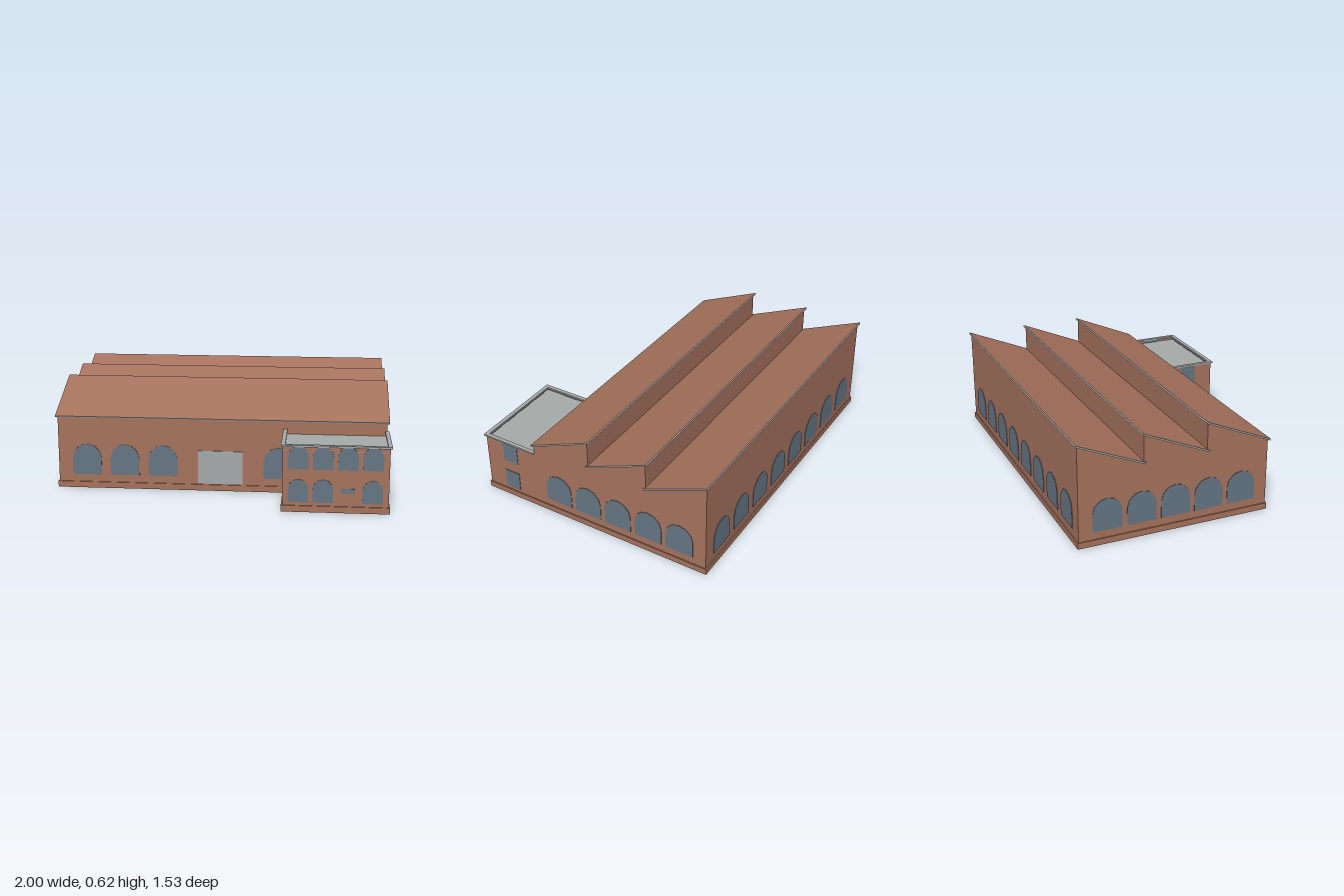
import * as THREE from 'three';

const mat = (name, color, side = THREE.FrontSide) => {
  const m = new THREE.MeshStandardMaterial({ color, side });
  m.name = name;
  return m;
};

export function createModel() {
  const brick = mat('brick', 0xa5725c, THREE.DoubleSide);
  const grey = mat('concrete grey', 0xa5a9a8);
  const glass = mat('window blue', 0x647683);

  const model = new THREE.Group();
  model.name = 'sawtoothFactory';
  const add = (name, geometry, material, x = 0, y = 0, z = 0, rotY = 0) => {
    const mesh = new THREE.Mesh(geometry, material);
    mesh.name = name;
    mesh.position.set(x, y, z);
    mesh.rotation.y = rotY;
    model.add(mesh);
    return mesh;
  };
  const box = (name, material, x0, x1, y0, y1, z0, z1) =>
    add(name, new THREE.BoxGeometry(x1 - x0, y1 - y0, z1 - z0), material,
      (x0 + x1) / 2, (y0 + y1) / 2, (z0 + z1) / 2);
  const wall = (name, w, h, x, y, z, rotY = 0) =>
    add(name, new THREE.PlaneGeometry(w, h), brick, x, y + h / 2, z, rotY);

  // Main dimensions
  const X = 0.987, FRONT = 0.4, TOOTH = 0.385, BACK = FRONT - 3 * TOOTH;
  const LOW = 0.443, HIGH = 0.608, SIDE = Math.PI / 2;
  const AX = 0.385, AZ = 0.755, AH = 0.382;

  // Sawtooth side walls (shape x runs towards -z)
  const profile = new THREE.Shape();
  profile.moveTo(-FRONT, 0);
  for (let i = 0; i < 3; i++) {
    profile.lineTo(-FRONT + i * TOOTH, LOW);
    profile.lineTo(-FRONT + (i + 1) * TOOTH, HIGH);
  }
  profile.lineTo(-BACK, 0);
  for (const s of [-1, 1])
    add('sideWall', new THREE.ShapeGeometry(profile), brick, s * X, 0, 0, SIDE);

  // Front and back walls, and upright faces of the teeth
  wall('frontWall', 2 * X, LOW, 0, 0, FRONT);
  wall('backWall', 2 * X, HIGH, 0, 0, BACK);
  for (const i of [1, 2])
    wall('toothWall', 2 * X, HIGH - LOW, 0, LOW, FRONT - i * TOOTH);

  // Sloping roof slabs: brick on top, grey edges and underside
  const slope = Math.atan2(0.173, 0.405);
  for (let i = 0; i < 3; i++) {
    const slab = add('roofSlab', new THREE.BoxGeometry(2, 0.01, 0.44),
      [grey, grey, brick, grey, grey, grey],
      0, (LOW + HIGH) / 2 + 0.002, FRONT - (i + 0.5) * TOOTH);
    slab.rotation.x = slope;
  }

  // Annex walls, recessed roof and coping
  const annexDepth = AZ - FRONT, annexMid = (AZ + FRONT) / 2;
  wall('annexFrontWall', X - AX, AH, (X + AX) / 2, 0, AZ);
  for (const x of [AX, X]) wall('annexSideWall', annexDepth, AH, x, 0, annexMid, SIDE);
  box('annexRoof', grey, AX, X, 0.355, 0.363, FRONT, AZ);
  box('annexCoping', grey, 0.376, 0.998, 0.381, 0.392, 0.74, 0.765);
  box('annexCoping', grey, 0.376, 0.4, 0.381, 0.392, FRONT, 0.74);
  box('annexCoping', grey, 0.974, 0.998, 0.381, 0.392, FRONT, 0.74);

  // Plinth around the outer walls
  const P = 0.007, PH = 0.037;
  box('plinth', brick, -X - P, AX, 0, PH, FRONT, FRONT + P);
  box('plinth', brick, -X - P, X + P, 0, PH, BACK - P, BACK);
  box('plinth', brick, -X - P, -X, 0, PH, BACK, FRONT);
  box('plinth', brick, X, X + P, 0, PH, BACK, AZ);
  box('plinth', brick, AX - P, AX, 0, PH, FRONT + P, AZ);
  box('plinth', brick, AX - P, X + P, 0, PH, AZ, AZ + P);

  // Arched window plates, showing on both faces of the wall
  const archGeometry = (w, h) => {
    const r = w / 2, s = new THREE.Shape();
    s.moveTo(-r, 0);
    s.lineTo(r, 0);
    for (let i = 0; i <= 6; i++) {
      const a = (i / 6) * Math.PI;
      s.lineTo(r * Math.cos(a), h - r + r * Math.sin(a));
    }
    return new THREE.ExtrudeGeometry(s, { depth: 0.006, bevelEnabled: false })
      .translate(0, 0, -0.003);
  };
  const bigArch = archGeometry(0.176, 0.192);
  const smallArch = archGeometry(0.115, 0.136);

  for (let i = 0; i < 8; i++) {
    const x = (i - 3.5) * 0.232;
    add('backWindow', bigArch, glass, x, 0.083, BACK);
    if (i !== 3 && i !== 4) add('frontWindow', bigArch, glass, x, 0.083, FRONT);
  }
  for (const s of [-1, 1])
    for (let i = 0; i < 5; i++)
      add('sideWindow', bigArch, glass, s * X, 0.083, 0.235 - i * 0.205, SIDE);

  // Annex windows
  for (let i = 0; i < 4; i++) {
    const x = 0.475 + i * 0.14;
    add('annexUpperWindow', smallArch, glass, x, 0.25, AZ);
    if (i !== 2) add('annexLowerWindow', smallArch, glass, x, 0.057, AZ);
  }
  box('annexVent', glass, 0.715, 0.795, 0.113, 0.142, AZ - 0.003, AZ + 0.003);
  for (const x of [AX, X])
    for (const [y0, y1] of [[0.055, 0.178], [0.25, 0.378]])
      box('annexSideWindow', glass, x - 0.003, x + 0.003, y0, y1, 0.53, 0.632);

  // Loading door on the front wall
  box('loadingDoor', grey, -0.135, 0.133, 0.043, 0.247, FRONT + 0.001, FRONT + 0.006);

  return model;
}
